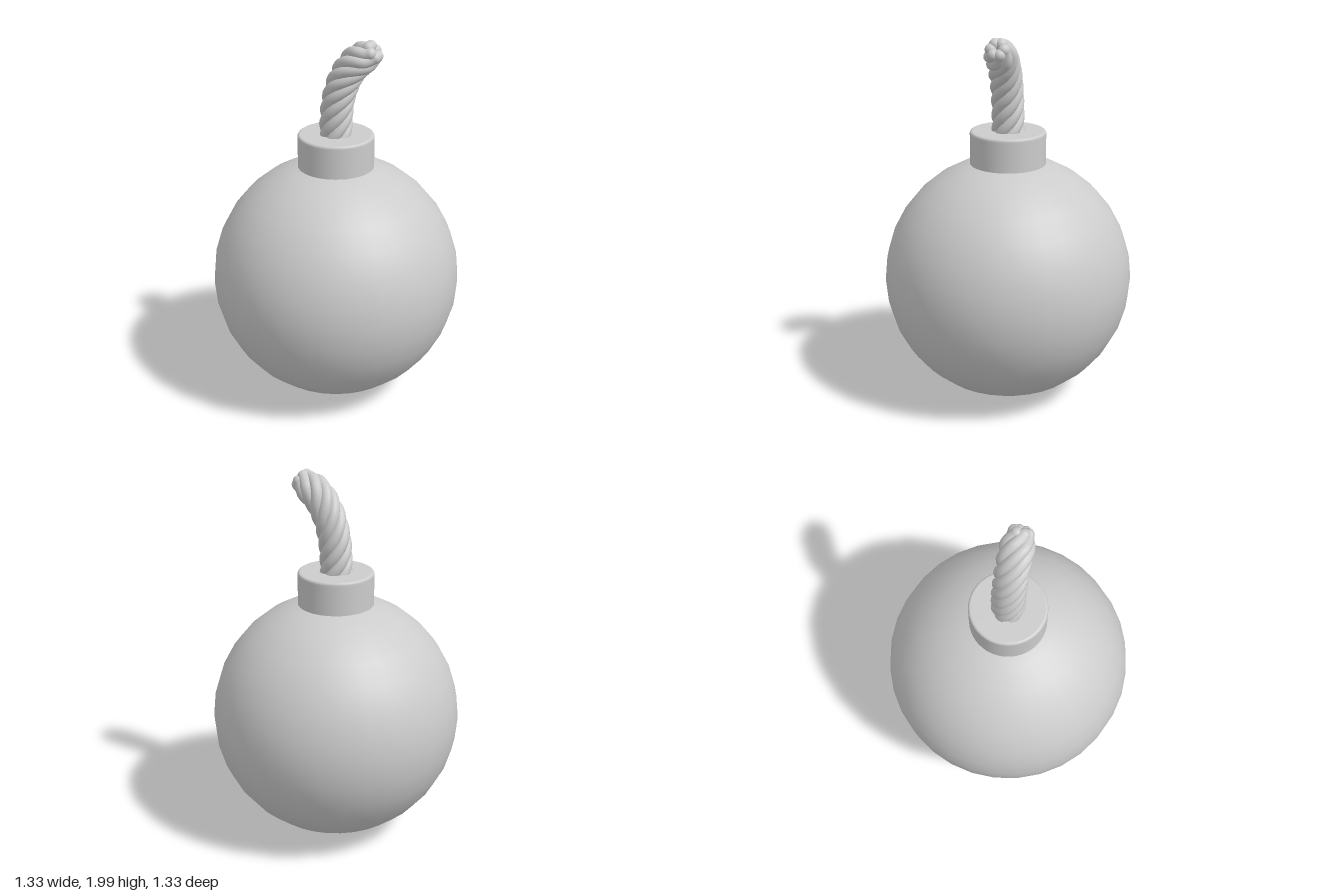
import * as THREE from 'three';

const material = new THREE.MeshStandardMaterial({ color: 0xcccccc });

function addMesh(parent, name, geometry) {
  const mesh = new THREE.Mesh(geometry, material);
  mesh.name = name;
  parent.add(mesh);
  return mesh;
}

// Centre line of the fuse, bending towards +x
const spine = new THREE.CatmullRomCurve3([
  [0, 1.42], [0, 1.54], [0.012, 1.66], [0.045, 1.77], [0.105, 1.865], [0.2, 1.935],
].map(([x, y]) => new THREE.Vector3(x, y, 0)));

// Point on a strand that winds round the centre line
function strandPoint(t, phase) {
  const p = spine.getPointAt(t);
  const d = spine.getTangentAt(t);
  const a = phase - t * Math.PI * 2 * 1.25;
  const tuck = THREE.MathUtils.smoothstep(t, 0.88, 1);
  const r = 0.056 - 0.022 * tuck;
  return new THREE.Vector3(
    p.x + d.y * r * Math.cos(a),
    p.y - d.x * r * Math.cos(a),
    r * Math.sin(a)
  );
}

export function createModel() {
  const model = new THREE.Group();
  model.name = 'roundBomb';

  // Body
  const body = addMesh(model, 'body', new THREE.SphereGeometry(0.666, 32, 16));
  body.position.y = 0.666;

  // Neck with a softly rounded rim
  const rim = [[0, 1.475], [0.185, 1.475]];
  for (let i = 0; i <= 4; i++) {
    const a = (i / 4) * Math.PI / 2;
    rim.push([0.188 + 0.013 * Math.sin(a), 1.462 + 0.013 * Math.cos(a)]);
  }
  rim.push([0.201, 1.455], [0.201, 1.27]);
  const profile = rim.reverse().map(([x, y]) => new THREE.Vector2(x, y));
  addMesh(model, 'neck', new THREE.LatheGeometry(profile, 48));

  // Twisted fuse of six strands with rounded ends
  const fuse = new THREE.Group();
  fuse.name = 'fuse';
  model.add(fuse);
  const strands = 6, strandRadius = 0.031;
  for (let i = 0; i < strands; i++) {
    const phase = (i / strands) * Math.PI * 2;
    const points = [];
    for (let j = 0; j <= 40; j++) points.push(strandPoint(j / 40, phase));
    const path = new THREE.CatmullRomCurve3(points);
    addMesh(fuse, 'strand', new THREE.TubeGeometry(path, 72, strandRadius, 12));
    const end = addMesh(fuse, 'strandEnd', new THREE.SphereGeometry(strandRadius, 14, 10));
    end.position.copy(points[40]);
  }
  return model;
}
